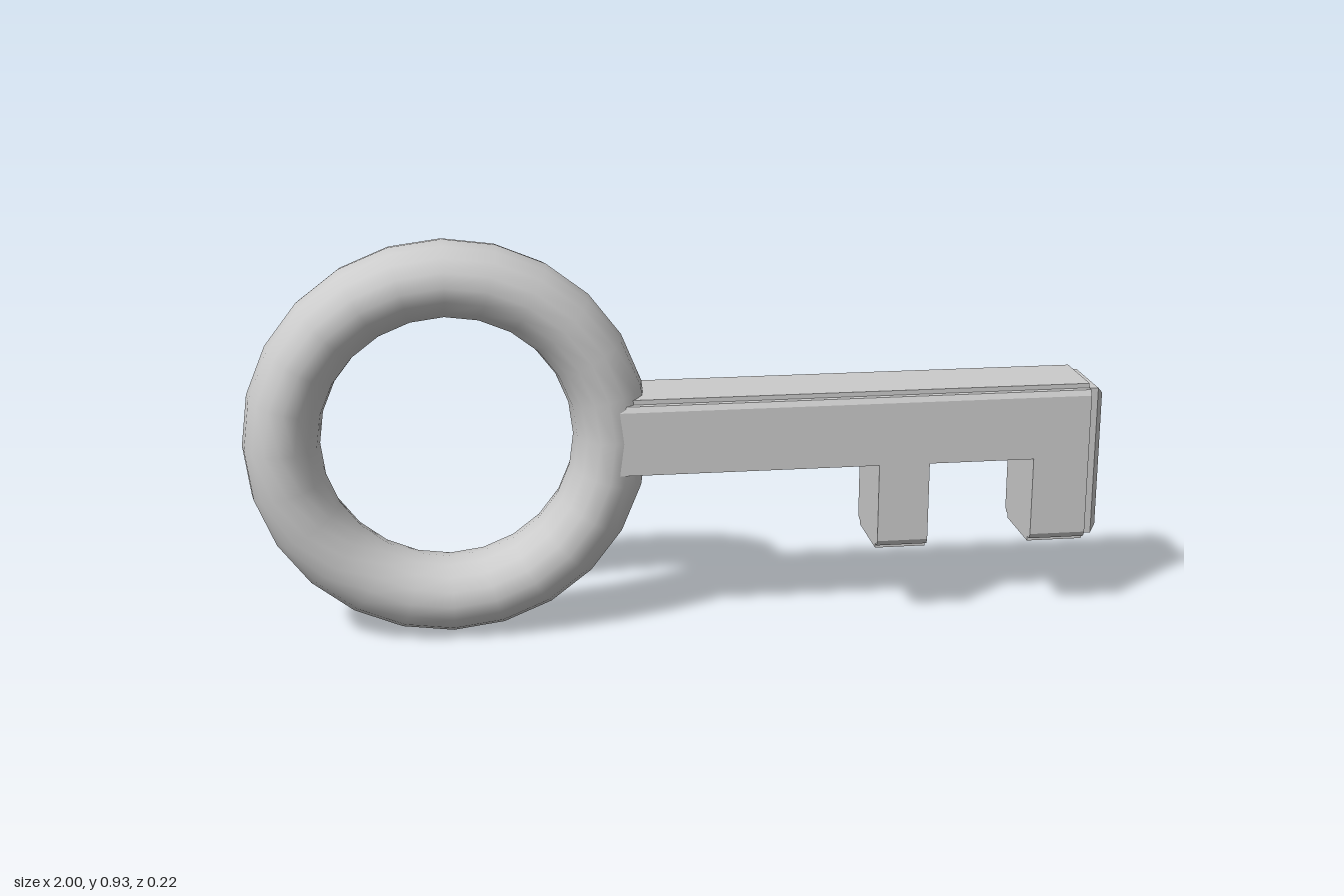
import * as THREE from 'three';

export function createModel() {
  const model = new THREE.Group();
  const material = new THREE.MeshStandardMaterial({ color: 0xcccccc });

  const add = (name, geometry) => {
    const mesh = new THREE.Mesh(geometry, material);
    mesh.name = name;
    model.add(mesh);
    return mesh;
  };

  // Stepped, softened long edge: [half width, distance from the outer face]
  const edge = [[0.105, 0.024], [0.098, 0.011], [0.083, 0.011], [0.083, 0]];
  const top = 0.567;

  // Extrudes a symmetric (z, y) cross-section along x
  const bar = (name, x0, x1, bottom, steppedBottom) => {
    const lower = steppedBottom
      ? edge.map(([z, d]) => [z, bottom + d]).reverse()
      : [[0.105, bottom]];
    const right = [...lower, ...edge.map(([z, d]) => [z, top - d])];
    const left = right.map(([z, y]) => [-z, y]).reverse();
    const shape = new THREE.Shape([...right, ...left].map(([z, y]) => new THREE.Vector2(z, y)));
    const geometry = new THREE.ExtrudeGeometry(shape, { depth: x1 - x0, bevelEnabled: false });
    geometry.rotateY(Math.PI / 2).translate(x0, 0, 0);
    add(name, geometry);
  };

  // Ring handle, slightly deeper than its in-plane thickness
  const ring = new THREE.TorusGeometry(0.378, 0.088, 16, 24);
  ring.scale(1, 1, 1.25);
  add('ringHandle', ring).position.set(-0.535, 0.47, 0);

  // Shaft with two teeth
  bar('shaftInner', -0.16, 0.46, 0.393, false);
  bar('middleTooth', 0.46, 0.58, 0.182, true);
  bar('shaftOuter', 0.58, 0.83, 0.393, false);
  bar('endTooth', 0.83, 0.963, 0.182, true);

  // Chamfered plate on the tip
  const plate = new THREE.Shape([
    new THREE.Vector2(-0.067, 0.211), new THREE.Vector2(0.067, 0.211),
    new THREE.Vector2(0.067, 0.539), new THREE.Vector2(-0.067, 0.539),
  ]);
  const tip = new THREE.ExtrudeGeometry(plate, {
    depth: 0.045, bevelSize: 0.016, bevelThickness: 0.015, bevelSegments: 1,
  });
  tip.rotateY(Math.PI / 2).translate(0.94, 0, 0);
  add('tipPlate', tip);

  return model;
}
